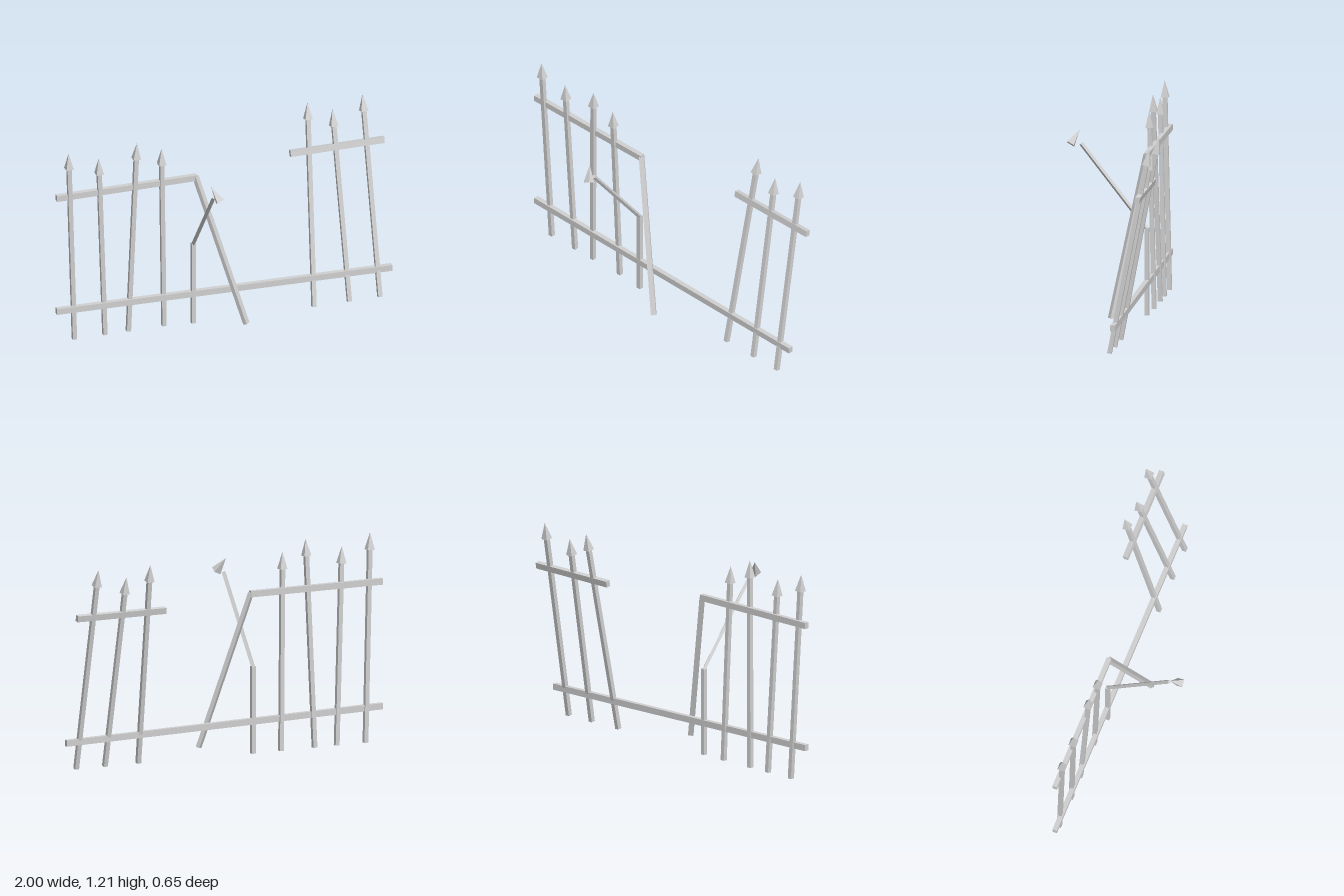
import * as THREE from 'three';

const BAR = 0.025, SPIKE_W = 0.044, SPIKE_H = 0.098;
const UP = new THREE.Vector3(0, 1, 0), ALONG = new THREE.Vector3(1, 0, 0);

export function createModel() {
  const model = new THREE.Group();
  const iron = new THREE.MeshStandardMaterial({ color: 0xd0d0d0 });
  iron.name = 'light grey iron';

  // box running from a to b; axis picks which local axis follows the run
  function beam(name, a, b, w, d, axis, parent = model, roll = 0) {
    const p = new THREE.Vector3(...a), q = new THREE.Vector3(...b);
    const dir = q.clone().sub(p), len = dir.length();
    const geo = axis === UP ? new THREE.BoxGeometry(w, len, d) : new THREE.BoxGeometry(len, w, d);
    const mesh = new THREE.Mesh(geo, iron);
    mesh.name = name;
    mesh.position.copy(p).lerp(q, 0.5);
    mesh.quaternion.setFromUnitVectors(axis, dir.normalize());
    mesh.rotateOnAxis(axis, roll);
    parent.add(mesh);
  }

  // four-sided spearhead with its tip at the given point
  function spike(name, tip, dir, parent = model) {
    const cone = new THREE.ConeGeometry(SPIKE_W * Math.SQRT1_2, SPIKE_H, 4).rotateY(Math.PI / 4);
    const geo = cone.toNonIndexed();
    geo.computeVertexNormals();
    const mesh = new THREE.Mesh(geo, iron);
    mesh.name = name;
    mesh.position.copy(tip).addScaledVector(dir, -SPIKE_H / 2);
    mesh.quaternion.setFromUnitVectors(UP, dir);
    parent.add(mesh);
  }

  // upright pickets: bottom x, z and tip x, y, z
  const pickets = [
    [-0.888, -0.14, -0.935, 1.207, -0.104],
    [-0.706, -0.14, -0.754, 1.145, -0.108],
    [-0.566, -0.14, -0.527, 1.207, -0.104],
    [-0.354, -0.14, -0.379, 1.145, -0.108],
    [0.527, -0.095, 0.562, 1.188, -0.32],
    [0.738, -0.095, 0.706, 1.128, -0.306],
    [0.92, -0.095, 0.89, 1.188, -0.32],
  ];
  pickets.forEach(([bx, bz, tx, ty, tz], i) => {
    const group = new THREE.Group();
    group.name = `picket${i + 1}`;
    const tip = new THREE.Vector3(tx, ty, tz);
    const dir = tip.clone().sub(new THREE.Vector3(bx, 0.003, bz)).normalize();
    const top = tip.clone().addScaledVector(dir, -SPIKE_H);
    beam('picketBar', [bx, 0.003, bz], top.toArray(), BAR, BAR, UP, group);
    spike('picketSpike', tip, dir, group);
    model.add(group);
  });

  // rails
  beam('bottomRail', [-1, 0.203, -0.126], [1, 0.163, -0.126], 0.036, 0.028, ALONG);
  beam('upperRightRail', [-1, 0.923, -0.126], [-0.165, 0.923, -0.126], 0.036, 0.028, ALONG);
  beam('fallenRail', [-0.171, 0.93, -0.126], [0.08, 0.03, 0.036], 0.024, 0.03, UP, model, -0.25);

  // upper left rail leans back with its pickets
  const leaning = new THREE.Mesh(new THREE.BoxGeometry(0.56, 0.036, 0.028), iron);
  leaning.name = 'upperLeftRail';
  leaning.position.set(0.72, 0.908, -0.266);
  leaning.rotation.x = -0.19;
  model.add(leaning);

  // broken picket bent forward and twisted, with its spike snapped off
  beam('brokenPicketLower', [-0.184, 0, -0.126], [-0.184, 0.505, -0.126], BAR, BAR, UP);
  beam('brokenPicketUpper', [-0.184, 0.5, -0.126], [-0.184, 0.98, 0.25], 0.018, 0.018, UP, model, Math.PI / 4);
  spike('looseSpike', new THREE.Vector3(-0.205, 1.057, 0.263),
    new THREE.Vector3(-0.038, 0.077, -0.045).normalize());

  return model;
}
